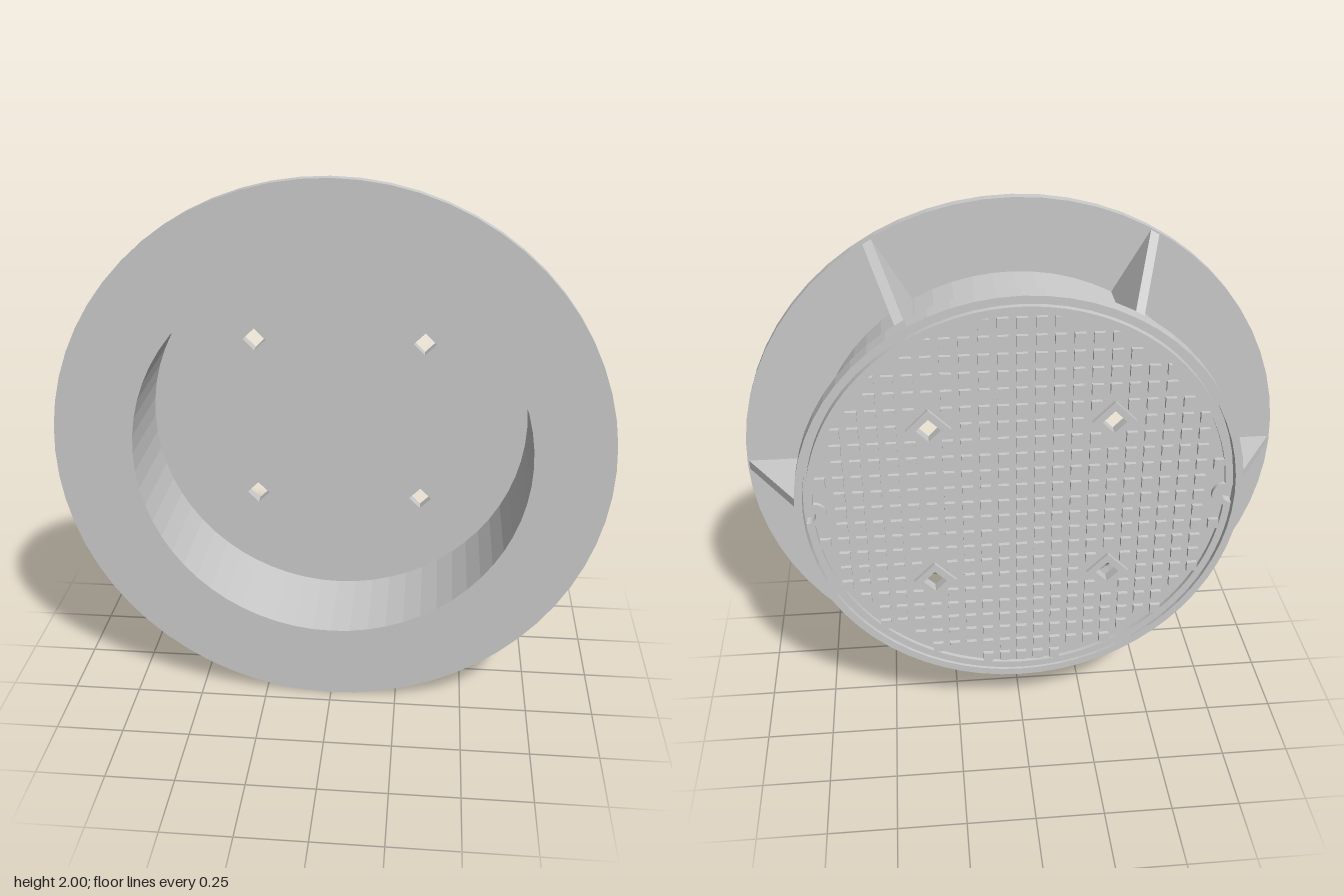
import * as THREE from 'three';
import { mergeGeometries } from 'three/addons/utils/BufferGeometryUtils.js';

const SEGMENTS = 64;
const HOLE = 0.32;                    // offset of the four lid holes
const SEAT = -0.16, PLATE = -0.185, TOP = -0.2;   // z levels of the lid

// Circle with a round notch of radius n on the left and right
function notchedCircle(path, r, n) {
  const a = Math.asin(n / r), c = r * Math.cos(a), h = Math.PI / 2;
  path.absarc(0, 0, r, a, Math.PI - a, false);
  path.absarc(-c, 0, n, h, -h, true);
  path.absarc(0, 0, r, Math.PI + a, 2 * Math.PI - a, false);
  path.absarc(c, 0, n, 3 * h, h, true);
  return path;
}

// Square standing on its corner
function diamond(path, x, y, d) {
  path.moveTo(x + d, y);
  path.lineTo(x, y + d);
  path.lineTo(x - d, y);
  path.lineTo(x, y - d);
  path.closePath();
  return path;
}

function extrude(shape, from, to) {
  return new THREE.ExtrudeGeometry(shape, {
    depth: to - from, bevelEnabled: false, curveSegments: 32,
  }).translate(0, 0, from);
}

export function createModel() {
  const model = new THREE.Group();
  model.name = 'manholeCoverAndFrame';
  const body = new THREE.Group();
  body.position.y = 1;
  model.add(body);
  const material = new THREE.MeshStandardMaterial({ color: 0xcccccc, flatShading: true });
  const add = (name, geometry) => {
    const mesh = new THREE.Mesh(geometry, material);
    mesh.name = name;
    body.add(mesh);
    return mesh;
  };

  // Frame: flange, wall, flared collar and lid seat in one turned profile
  const profile = [
    [0.715, 0.2], [0.715, SEAT], [0.772, SEAT], [0.772, TOP], [0.8, TOP],
    [0.8, -0.135], [0.735, -0.07], [0.735, 0.165], [1, 0.165], [1, 0.2], [0.715, 0.2],
  ].map(([r, z]) => new THREE.Vector2(r, z));
  add('frame', new THREE.LatheGeometry(profile, SEGMENTS).rotateX(Math.PI / 2));

  // Six stiffening ribs between flange and collar
  const ribShape = new THREE.Shape([
    [0.73, 0.167], [0.73, -0.07], [0.795, -0.135], [0.995, 0.167],
  ].map(([r, z]) => new THREE.Vector2(r, -z)));
  const ribGeometry = extrude(ribShape, -0.0175, 0.0175).rotateX(-Math.PI / 2);
  for (let i = 0; i < 6; i++) {
    add('rib', ribGeometry).rotation.z = i * Math.PI / 3;
  }

  // Lid plate with four holes and two lifting notches
  const holes = [];
  for (const x of [-HOLE, HOLE]) for (const y of [1 * HOLE, -HOLE]) holes.push([x, y]);
  const plate = notchedCircle(new THREE.Shape(), 0.762, 0.035);
  for (const [x, y] of holes) plate.holes.push(diamond(new THREE.Path(), x, y, 0.043));
  add('lidPlate', extrude(plate, PLATE, SEAT));

  // Raised lid edge that bends round the notches
  const edge = notchedCircle(new THREE.Shape(), 0.762, 0.035);
  edge.holes.push(notchedCircle(new THREE.Path(), 0.735, 0.045));
  add('lidEdge', extrude(edge, TOP, PLATE));

  // Raised collars round the holes
  for (const [x, y] of holes) {
    const collar = diamond(new THREE.Shape(), x, y, 0.078);
    collar.holes.push(diamond(new THREE.Path(), x, y, 0.043));
    add('holeCollar', extrude(collar, TOP, PLATE));
  }

  // Grid of square anti-slip studs
  const pitch = HOLE / 5, studs = [];
  for (let i = -12; i <= 12; i++) {
    for (let j = -12; j <= 12; j++) {
      const x = i * pitch, y = j * pitch;
      if (Math.hypot(x, y) > 0.725) continue;
      if (Math.hypot(Math.abs(x) - 0.75, y) < 0.08) continue;
      if (holes.some(([hx, hy]) => Math.abs(x - hx) + Math.abs(y - hy) < 0.1)) continue;
      studs.push(new THREE.BoxGeometry(0.038, 0.038, PLATE - TOP)
        .translate(x, y, (PLATE + TOP) / 2));
    }
  }
  add('studs', mergeGeometries(studs));
  return model;
}
